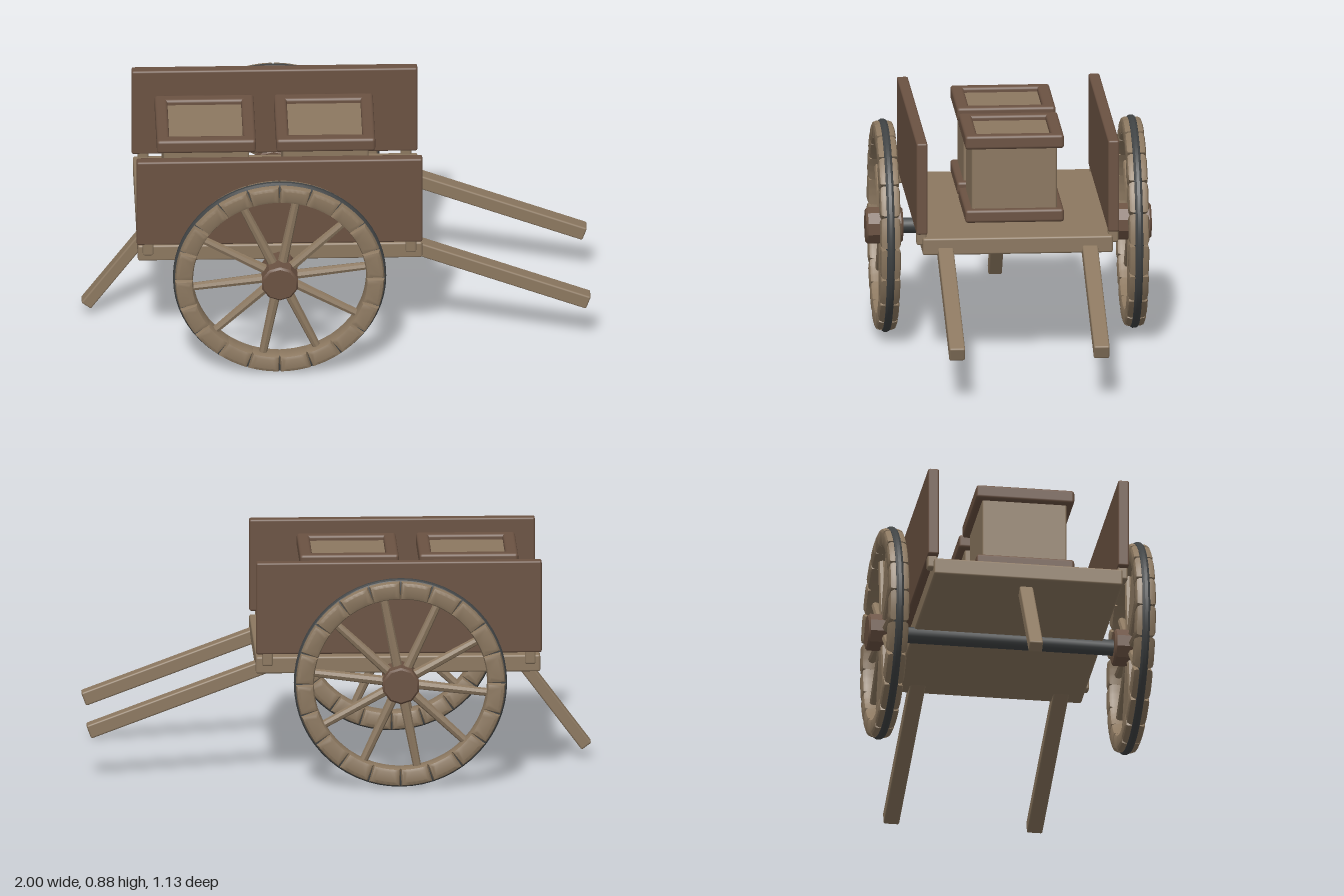
import * as THREE from 'three';
import { toCreasedNormals } from 'three/addons/utils/BufferGeometryUtils.js';
import { RoundedBoxGeometry } from 'three/addons/geometries/RoundedBoxGeometry.js';

const paleWood = new THREE.MeshStandardMaterial({ color: 0x8c7860 });
paleWood.name = 'pale wood';
const darkWood = new THREE.MeshStandardMaterial({ color: 0x6b5242 });
darkWood.name = 'dark wood';
const iron = new THREE.MeshStandardMaterial({ color: 0x404344 });
iron.name = 'iron';

function add(parent, name, geometry, material, x = 0, y = 0, z = 0) {
  const mesh = new THREE.Mesh(geometry, material);
  mesh.name = name;
  mesh.position.set(x, y, z);
  parent.add(mesh);
  return mesh;
}

// Softly rounded box given by its minimum and maximum corners
function box(parent, name, material, [x0, y0, z0], [x1, y1, z1], r = 0.008) {
  const geometry = new RoundedBoxGeometry(x1 - x0, y1 - y0, z1 - z0, 2, r);
  return add(parent, name, geometry, material, (x0 + x1) / 2, (y0 + y1) / 2, (z0 + z1) / 2);
}

// Sloping bar between two points of the xy plane
function bar(parent, name, [x0, y0], [x1, y1], z, height, width) {
  const length = Math.hypot(x1 - x0, y1 - y0);
  const geometry = new RoundedBoxGeometry(length, height, width, 2, 0.007);
  const mesh = add(parent, name, geometry, paleWood, (x0 + x1) / 2, (y0 + y1) / 2, z);
  mesh.rotation.z = Math.atan2(y1 - y0, x1 - x0);
}

function createWheel() {
  const wheel = new THREE.Group();
  wheel.name = 'wheel';

  // Iron band, showing outside the rim and in the gaps between its blocks
  const band = [[0.358, -0.018], [0.405, -0.018], [0.415, -0.014], [0.42, -0.006],
    [0.42, 0.006], [0.415, 0.014], [0.405, 0.018], [0.358, 0.018], [0.358, -0.018]]
    .map(([r, h]) => new THREE.Vector2(r, h));
  const tyre = toCreasedNormals(new THREE.LatheGeometry(band, 60), 0.5);
  add(wheel, 'tyre', tyre, iron).rotation.x = Math.PI / 2;

  // Wooden rim blocks
  const blocks = 20;
  const bevel = 0.016;
  const half = Math.PI / blocks - 0.047;
  const sector = new THREE.Shape();
  sector.absarc(0, 0, 0.396, -half, half, false);
  sector.absarc(0, 0, 0.357, half, -half, true);
  sector.closePath();
  const block = toCreasedNormals(new THREE.ExtrudeGeometry(sector, {
    depth: 0.048, curveSegments: 4, bevelEnabled: true,
    bevelSize: bevel, bevelThickness: bevel, bevelSegments: 2,
  }).translate(0, 0, -0.024), 0.6);
  for (let i = 0; i < blocks; i++) {
    add(wheel, 'rimBlock', block, paleWood).rotation.z = (i + 0.5) * 2 * Math.PI / blocks;
  }

  // Spokes
  const spoke = toCreasedNormals(
    new THREE.CylinderGeometry(0.016, 0.02, 0.31, 8).translate(0, 0.205, 0), 0.5);
  for (let i = 0; i < 10; i++) {
    add(wheel, 'spoke', spoke, paleWood).rotation.z = (i * 36 - 11) * Math.PI / 180;
  }

  // Hub with chamfered ends
  const profile = [[0, -0.073], [0.066, -0.073], [0.074, -0.065], [0.074, 0.065],
    [0.066, 0.073], [0, 0.073]].map(([r, h]) => new THREE.Vector2(r, h));
  const hub = toCreasedNormals(new THREE.LatheGeometry(profile, 10), 0.5);
  add(wheel, 'hub', hub, darkWood).rotation.x = Math.PI / 2;
  return wheel;
}

function createCrate() {
  const crate = new THREE.Group();
  crate.name = 'crate';
  box(crate, 'crateBody', paleWood, [-0.168, 0.53, -0.168], [0.168, 0.852, 0.168]);
  // Raised frames round the base and the lid
  for (const [y0, y1] of [[0.52, 0.573], [0.817, 0.873]]) {
    for (const s of [-1, 1]) {
      const a = s > 0 ? 0.145 : -0.195;
      box(crate, 'crateFrameLong', darkWood, [-0.195, y0, a], [0.195, y1, a + 0.05], 0.012);
      box(crate, 'crateFrameShort', darkWood, [a, y0, -0.195], [a + 0.05, y1, 0.195], 0.012);
    }
  }
  return crate;
}

export function createModel() {
  const cart = new THREE.Group();
  cart.name = 'handcart';

  box(cart, 'bed', paleWood, [-0.79, 0.437, -0.375], [0.33, 0.505, 0.375]);
  bar(cart, 'restingLeg', [-0.985, 0.052], [-0.71, 0.42], 0, 0.048, 0.054);

  for (const s of [-1, 1]) {
    // Side boards on short posts
    box(cart, 'sideBoard', darkWood, [-0.795, 0.52, s * 0.378 - 0.022], [0.33, 0.89, s * 0.378 + 0.022]);
    for (const x of [-0.75, 0.285]) {
      box(cart, 'sidePost', paleWood, [x - 0.021, 0.472, s * 0.378 - 0.02], [x + 0.021, 0.86, s * 0.378 + 0.02]);
    }

    bar(cart, 'handle', [0.255, 0.465], [0.986, 0.192], s * 0.285, 0.056, 0.062);

    const wheel = createWheel();
    wheel.position.set(-0.235, 0.425, s * 0.49);
    cart.add(wheel);
  }

  // Axle
  const axle = toCreasedNormals(new THREE.CylinderGeometry(0.032, 0.032, 0.9, 12), 0.6);
  add(cart, 'axle', axle, iron, -0.235, 0.423, 0).rotation.x = Math.PI / 2;

  // Cargo
  for (const x of [-0.515, -0.045]) {
    const crate = createCrate();
    crate.position.x = x;
    cart.add(crate);
  }
  return cart;
}
